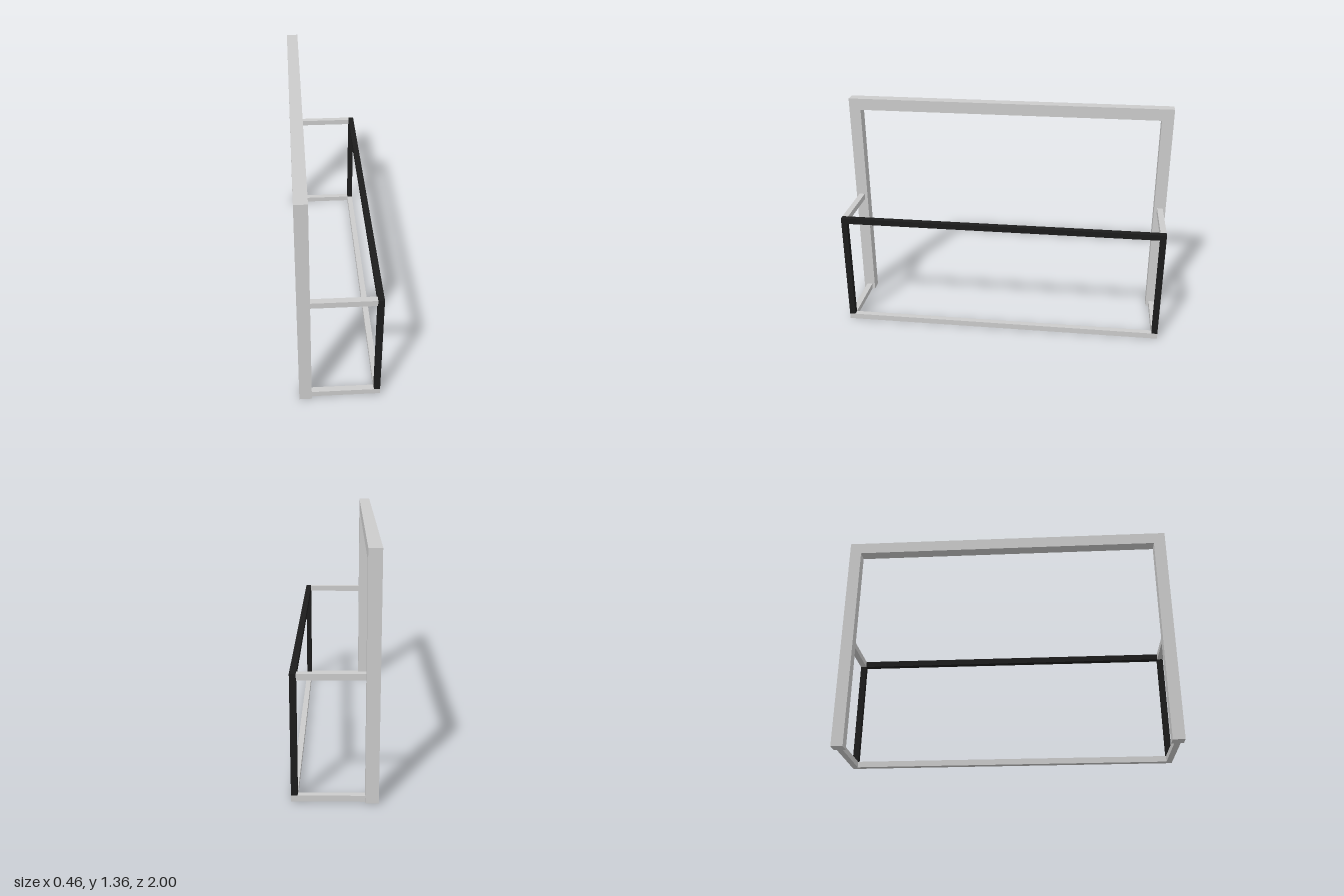
import * as THREE from 'three';

export function createModel() {
  const group = new THREE.Group();
  const grey = new THREE.MeshStandardMaterial({ color: 0xcccccc, flatShading: true });
  const black = new THREE.MeshStandardMaterial({ color: 0x1c1c1c, flatShading: true });

  // Square bar given by its lower and upper corners
  function bar(name, material, [x0, y0, z0], [x1, y1, z1]) {
    const mesh = new THREE.Mesh(new THREE.BoxGeometry(x1 - x0, y1 - y0, z1 - z0), material);
    mesh.position.set((x0 + x1) / 2, (y0 + y1) / 2, (z0 + z1) / 2);
    mesh.name = name;
    group.add(mesh);
  }

  const W = 0.071, T = 0.035;           // thick and thin bar sections
  const back = -0.232, front = 0.23;    // depth extents
  const height = 1.357, railTop = 0.714;
  const mid = 1 - W / 2;                // thin bars are centred on the posts
  const inner = mid - T / 2, outer = mid + T / 2;

  // Tall rear frame
  bar('crossbar', grey, [back, height - W, -1], [back + W, height, 1]);
  // Long rails of the low front frame
  bar('frontRail', black, [front - T, railTop - T, -outer], [front, railTop, outer]);
  bar('groundRail', grey, [front - T, 0, -outer], [front, T, outer]);

  // Parts repeated at both ends
  for (const s of [-1, 1]) {
    const span = (a, b) => (s > 0 ? [a, b] : [-b, -a]);
    const [p0, p1] = span(1 - W, 1);
    const [t0, t1] = span(inner, outer);
    bar('post', grey, [back, 0, p0], [back + W, height - W, p1]);
    bar('frontLeg', black, [front - T, T, t0], [front, railTop - T, t1]);
    bar('upperArm', grey, [back + W, railTop - T, t0], [front - T, railTop, t1]);
    bar('lowerArm', grey, [back + W, 0, t0], [front - T, T, t1]);
  }
  return group;
}
